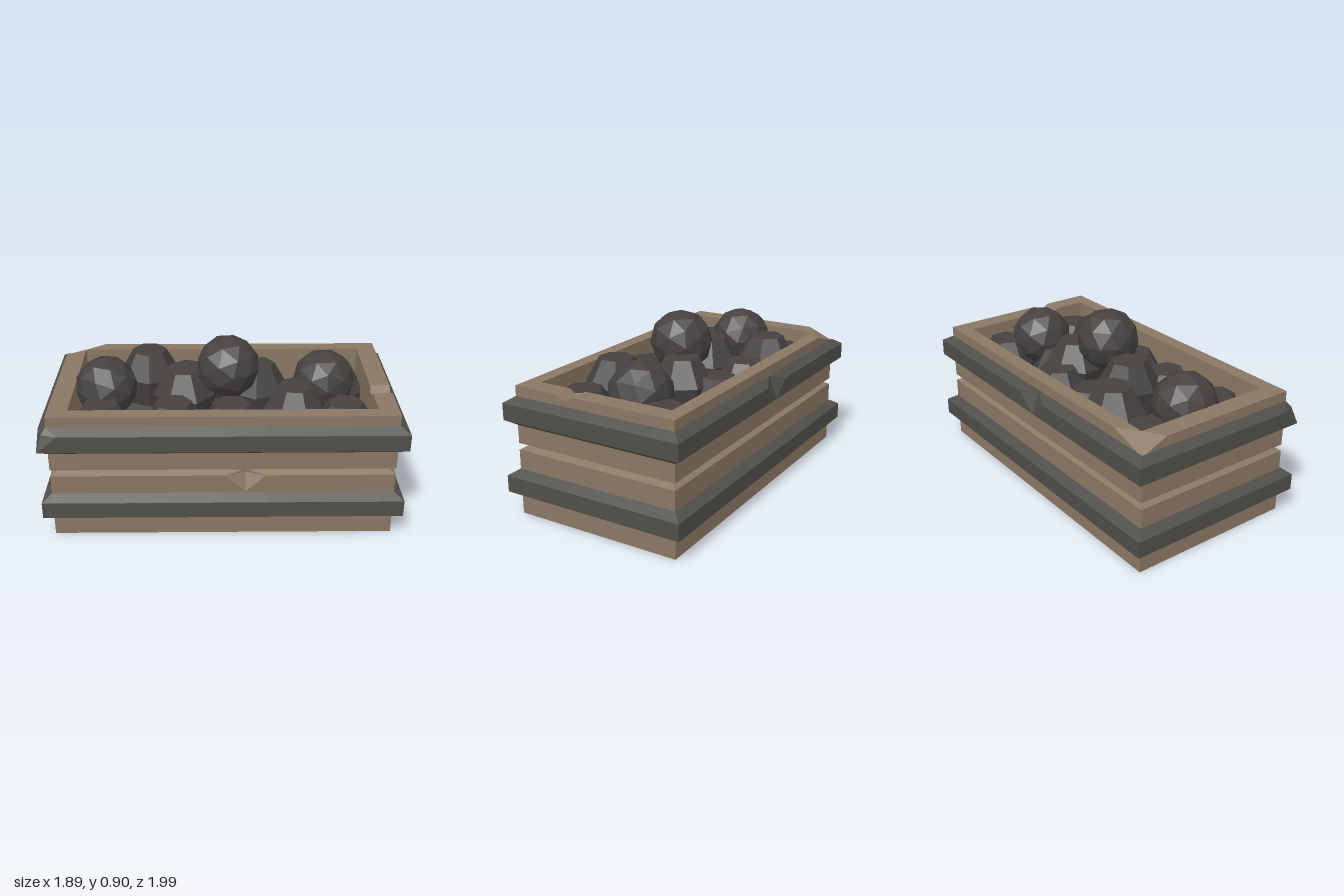
import * as THREE from 'three';

const A = 0.44, B = 0.847;        // half width and half length of the box
const IN_A = 0.365, IN_B = 0.748; // half sizes of the opening
const FLOOR = 0.42;

// Plan outline, with extra points where chips and notches sit
const outline = [
  [A, B], [A, 0.79], [A, -0.01], [A, -0.11], [A, -0.21],
  [A, -B], [0.195, -B], [0.15, -B], [0.105, -B],
  [-A, -B], [-A, -0.06], [-A, 0.04], [-A, 0.14], [-A, 0.65],
  [-A, B], [-0.3, B], [0.39, B],
];
const clamp = THREE.MathUtils.clamp;

// Skin a profile of [y, offset] rows around the outline; offset 'in' is the opening.
// dents maps "row,point" to a displacement.
function loft(rows, dents, material, name) {
  const at = (j, i) => {
    i %= outline.length;
    const [u, v] = outline[i], [y, o] = rows[j];
    const p = o === 'in'
      ? new THREE.Vector3(clamp(u, -IN_A, IN_A), y, clamp(v, -IN_B, IN_B))
      : new THREE.Vector3(
        Math.abs(u) === A ? u + Math.sign(u) * o : u, y,
        Math.abs(v) === B ? v + Math.sign(v) * o : v);
    const d = dents[`${j},${i}`];
    return d ? p.add(new THREE.Vector3(...d)) : p;
  };
  const moved = (j, i) => `${j},${i % outline.length}` in dents;
  const pts = [];
  for (let j = 0; j < rows.length - 1; j++) {
    for (let i = 0; i < outline.length; i++) {
      const a = at(j, i), b = at(j, i + 1), c = at(j + 1, i + 1), d = at(j + 1, i);
      // pick the diagonal that keeps each chip small
      if (moved(j, i) || moved(j + 1, i + 1)) pts.push(a, b, d, b, c, d);
      else pts.push(a, b, c, a, c, d);
    }
  }
  const geo = new THREE.BufferGeometry().setFromPoints(pts);
  geo.computeVertexNormals();
  const mesh = new THREE.Mesh(geo, material);
  mesh.name = name;
  return mesh;
}

function flatPanel(w, l, y, up, material, name) {
  const mesh = new THREE.Mesh(new THREE.PlaneGeometry(w, l), material);
  mesh.rotation.x = up ? -Math.PI / 2 : Math.PI / 2;
  mesh.position.y = y;
  mesh.name = name;
  return mesh;
}

export function createModel() {
  const wood = new THREE.MeshStandardMaterial({ color: 0x8a7764, flatShading: true });
  wood.name = 'weathered wood';
  const iron = new THREE.MeshStandardMaterial({ color: 0x504e49, flatShading: true });
  iron.name = 'dark iron';
  const coal = new THREE.MeshStandardMaterial({ color: 0x44413f, flatShading: true });
  coal.name = 'coal';

  const model = new THREE.Group();
  model.name = 'coalBox';

  // Box, turned on the ground
  const box = new THREE.Group();
  box.name = 'box';
  box.rotation.y = THREE.MathUtils.degToRad(-40);
  model.add(box);

  // Wooden walls with a groove, rim and inner faces
  const wallRows = [
    [0, 0], [0.245, 0], [0.335, 0], [0.352, -0.035], [0.37, 0],
    [0.595, 0], [0.66, 0], [0.66, 'in'], [FLOOR, 'in'],
  ];
  box.add(loft(wallRows, {
    '2,3': [-0.035, 0, 0],     // chip under the groove
    '6,7': [0, -0.03, 0],      // notch across the end rim
    '7,7': [0, -0.03, 0],
    '6,14': [0, -0.06, 0],     // broken rim corner
  }, wood, 'walls'));
  box.add(flatPanel(2 * A, 2 * B, 0, false, wood, 'bottom'));
  box.add(flatPanel(2 * IN_A, 2 * IN_B, FLOOR, true, iron, 'coalBed'));

  // Iron bands with bevelled edges
  const bandRows = (y) => [[y, 0], [y + 0.03, 0.046], [y + 0.115, 0.046], [y + 0.145, 0]];
  box.add(loft(bandRows(0.092), {}, iron, 'lowerBand'));
  box.add(loft(bandRows(0.463), {
    '2,0': [-0.025, 0, -0.025], // dented corner
    '2,11': [0.035, 0, 0],      // dent in the long side
  }, iron, 'upperBand'));

  // Flat-topped lumps: x, z, top height
  const lumpShape = [[0.001, -0.28], [0.13, -0.28], [0.163, -0.13], [0.09, 0], [0.001, 0]]
    .map(([r, y]) => new THREE.Vector2(r, y));
  const lumps = [
    [-0.44, 0.14, 0.71], [-0.13, 0.15, 0.71], [0.07, -0.18, 0.71], [0.39, -0.14, 0.71],
    [0.2, 0.11, 0.62], [0.22, -0.62, 0.62], [0.56, -0.33, 0.62], [-0.1, -0.23, 0.62],
    [-0.29, 0, 0.62], [-0.58, 0.33, 0.6], [-0.23, 0.6, 0.62], [0, 0.32, 0.62],
    [0.22, -0.31, 0.6],
  ];
  const lumpGeo = new THREE.LatheGeometry(lumpShape, 7);
  lumps.forEach(([x, z, top], i) => {
    const lump = new THREE.Mesh(lumpGeo, coal);
    lump.name = 'coalLump';
    lump.position.set(x, top, z);
    lump.rotation.y = i * 1.3;
    model.add(lump);
  });

  // Rounder lumps on top of the heap
  const ball = new THREE.IcosahedronGeometry(0.162, 1);
  [[0.045, 0, 0.74], [0.3, -0.44, 0.62], [-0.37, 0.47, 0.62]].forEach(([x, z, y], i) => {
    const lump = new THREE.Mesh(ball, coal);
    lump.name = 'topLump';
    lump.position.set(x, y, z);
    lump.rotation.y = i * 0.9;
    model.add(lump);
  });

  return model;
}
